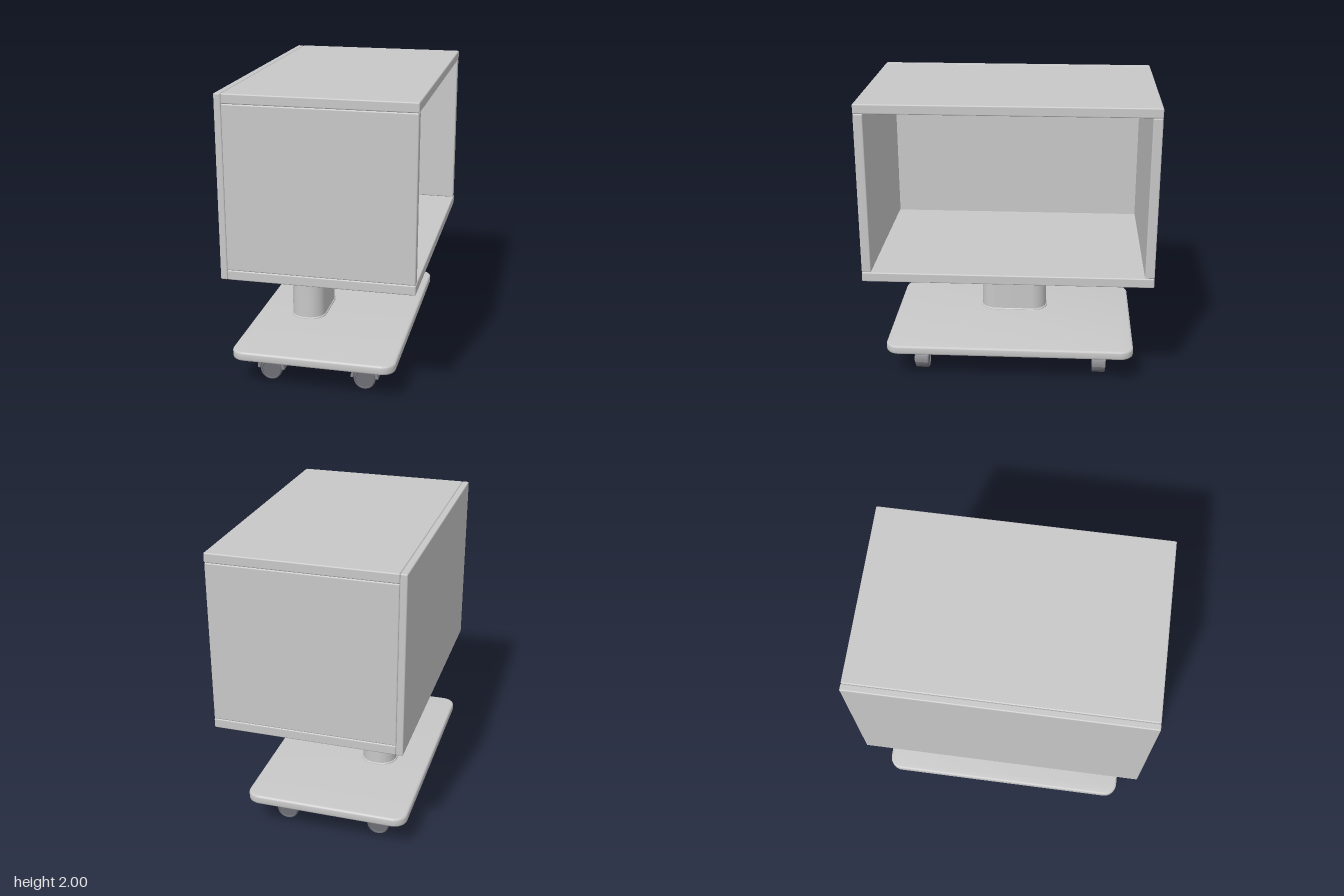
import * as THREE from 'three';
import { toCreasedNormals } from 'three/addons/utils/BufferGeometryUtils.js';
import { RoundedBoxGeometry } from 'three/addons/geometries/RoundedBoxGeometry.js';

// Rounded rectangle outline centred on the origin
function roundedRect(w, d, r) {
  const x = w / 2 - r, y = d / 2 - r;
  const s = new THREE.Shape();
  s.absarc(x, y, r, 0, Math.PI / 2);
  s.absarc(-x, y, r, Math.PI / 2, Math.PI);
  s.absarc(-x, -y, r, Math.PI, Math.PI * 1.5);
  s.absarc(x, -y, r, Math.PI * 1.5, Math.PI * 2);
  s.closePath();
  return s;
}

// Upright slab from y0 to y1 with rounded corners and an eased rim
function slab(w, d, r, y0, y1, bevel) {
  const g = new THREE.ExtrudeGeometry(roundedRect(w - 2 * bevel, d - 2 * bevel, r - bevel), {
    depth: y1 - y0 - 2 * bevel, curveSegments: 12,
    bevelEnabled: bevel > 0, bevelSize: bevel, bevelThickness: bevel, bevelSegments: 3,
  });
  g.rotateX(-Math.PI / 2);
  g.translate(0, y0 + bevel, 0);
  return toCreasedNormals(g, 0.6);
}

export function createModel() {
  const model = new THREE.Group();
  model.name = 'mobileCabinet';

  const mat = (name, color) => {
    const m = new THREE.MeshStandardMaterial({ color });
    m.name = name;
    return m;
  };
  const grey = mat('lightGrey', 0xc8c8c8);
  const housing = mat('casterGrey', 0x88888d);
  const tyre = mat('wheelGrey', 0x6e6e76);

  const add = (parent, name, geometry, material, x = 0, y = 0, z = 0) => {
    const m = new THREE.Mesh(geometry, material);
    m.name = name;
    m.position.set(x, y, z);
    parent.add(m);
    return m;
  };

  // Cabinet: five eased panels, open towards +x
  const cabinet = new THREE.Group();
  cabinet.name = 'cabinet';
  model.add(cabinet);
  const panel = (name, x0, x1, y0, y1, z0, z1) =>
    add(cabinet, name, new RoundedBoxGeometry(x1 - x0, y1 - y0, z1 - z0, 2, 0.008), grey,
      (x0 + x1) / 2, (y0 + y1) / 2, (z0 + z1) / 2);
  panel('backPanel', -0.618, -0.573, 0.818, 2, -0.945, 0.945);
  panel('topPanel', -0.573, 0.616, 1.937, 2, -0.945, 0.945);
  panel('bottomPanel', -0.573, 0.616, 0.818, 0.882, -0.945, 0.945);
  for (const [name, s] of [['leftSidePanel', 1], ['rightSidePanel', -1]]) {
    const z = [0.883 * s, 0.945 * s].sort((a, b) => a - b);
    panel(name, -0.573, 0.614, 0.882, 1.937, z[0], z[1]);
  }

  // Column with a small foot collar
  add(model, 'column', slab(0.234, 0.47, 0.105, 0.26, 0.825, 0), grey, -0.265);
  add(model, 'columnCollar', slab(0.25, 0.488, 0.113, 0.262, 0.28, 0.008), grey, -0.265);

  // Base plate
  add(model, 'basePlate', slab(1.09, 1.696, 0.09, 0.208, 0.27, 0.014), grey, -0.073);

  // Wheel profile, spun around its axle
  const wheelGeo = toCreasedNormals(new THREE.LatheGeometry([
    [0, -0.04], [0.058, -0.04], [0.06, -0.047], [0.066, -0.047], [0.073, -0.039],
    [0.073, 0.039], [0.066, 0.047], [0.06, 0.047], [0.058, 0.04], [0, 0.04],
  ].map(([r, y]) => new THREE.Vector2(r, y)), 32), 0.5);
  wheelGeo.rotateX(Math.PI / 2);

  // Arched guard over the wheel
  const arch = new THREE.Shape();
  arch.absarc(0, 0, 0.093, -0.05, Math.PI + 0.05, false);
  arch.absarc(0, 0, 0.074, Math.PI + 0.05, -0.05, true);
  arch.closePath();
  const guardGeo = toCreasedNormals(new THREE.ExtrudeGeometry(arch, {
    depth: 0.088, curveSegments: 24,
    bevelEnabled: true, bevelSize: 0.003, bevelThickness: 0.004, bevelOffset: -0.003, bevelSegments: 1,
  }).translate(0, 0, -0.044), 0.5);

  // Four casters
  for (const x of [-0.395, 0.245]) {
    for (const z of [-0.62, 0.62]) {
      const caster = new THREE.Group();
      caster.name = 'caster';
      caster.position.set(x, 0, z);
      model.add(caster);
      add(caster, 'casterStem', new THREE.BoxGeometry(0.092, 0.06, 0.08), housing, 0, 0.185);
      add(caster, 'casterGuard', guardGeo, housing, 0, 0.083);
      add(caster, 'casterWheel', wheelGeo, tyre, 0, 0.073);
    }
  }
  return model;
}
